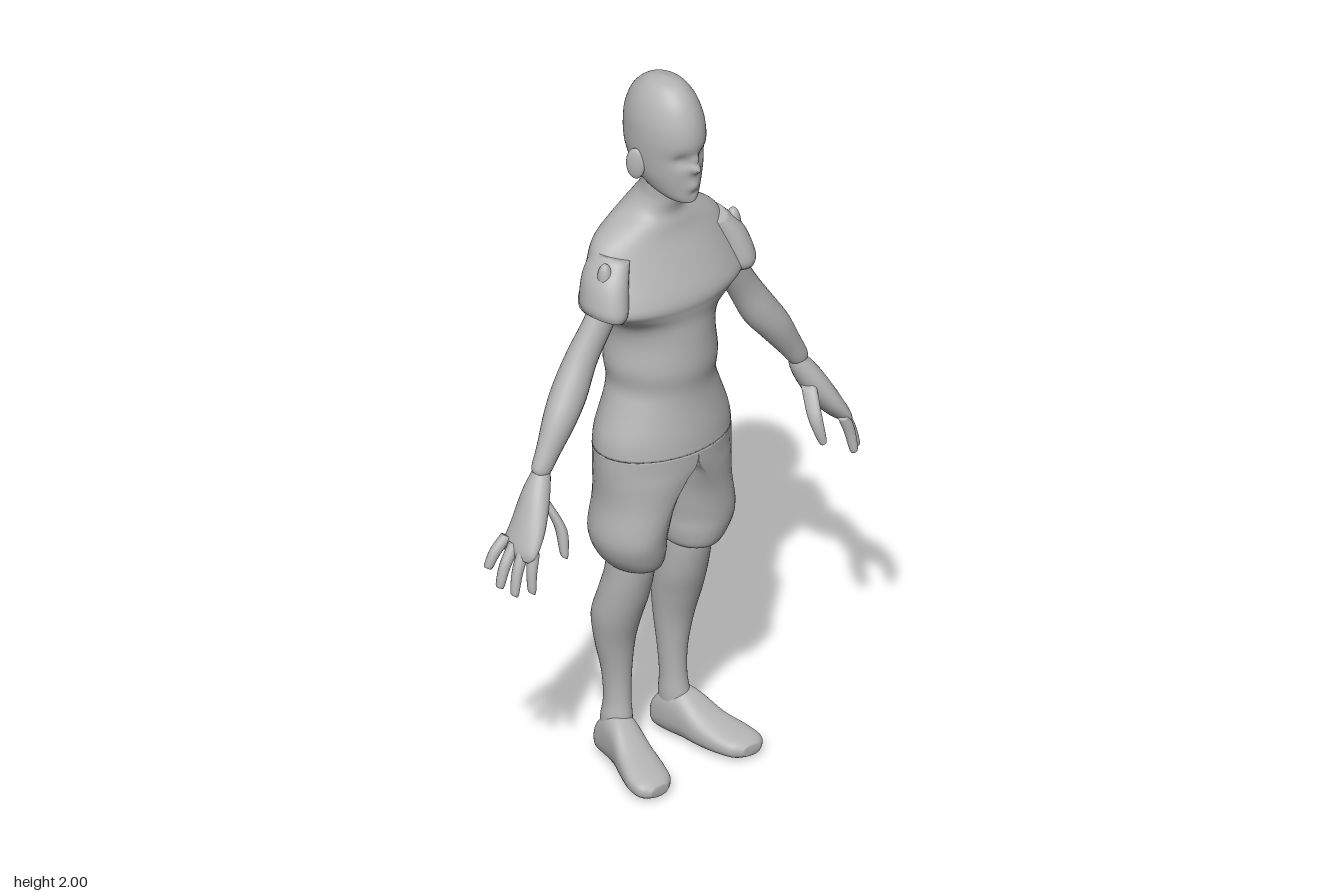
import * as THREE from 'three';

const skin = new THREE.MeshStandardMaterial({ color: 0xb4b4b4 });
skin.name = 'plain grey';
const X = [1, 0, 0], Y = [0, 1, 0], Z = [0, 0, 1];

// Catmull-Rom blend of one number across the sections
function blend(rows, i, f, k) {
  const at = (j) => rows[Math.max(0, Math.min(rows.length - 1, j))][k];
  const [a, b, c, d] = [at(i - 1), at(i), at(i + 1), at(i + 2)];
  return b + 0.5 * f * (c - a + f * (2 * a - 5 * b + 4 * c - d + f * (3 * (b - c) + d - a)));
}

// Smooth skin through elliptic sections [x, y, z, radiusU, radiusV, inner]
// spanned by U and V; "inner" scales the half that faces the other leg.
function loft(name, rows, U, V, { sides = 32, steps = 5, power = 1, side = 1, shape = null } = {}) {
  rows = rows.map((r) => [...r, 1].slice(0, 6));
  const pos = [], index = [];
  const rings = (rows.length - 1) * steps;
  const centre = (r) => [0, 1, 2].map((k) => r[k]);
  const round = (c) => Math.sign(c) * Math.abs(c) ** power;
  for (let j = 0; j <= rings; j++) {
    const i = Math.min(Math.floor(j / steps), rows.length - 2), f = j / steps - i;
    const s = [0, 1, 2, 3, 4, 5].map((k) => blend(rows, i, f, k));
    for (let n = 0; n < sides; n++) {
      const t = (n / sides) * Math.PI * 2;
      let u = round(Math.cos(t)) * Math.max(s[3], 0);
      if (u < 0) u *= Math.max(s[5], 0);
      const v = round(Math.sin(t)) * Math.max(s[4], 0);
      const p = [0, 1, 2].map((k) => s[k] + U[k] * u + V[k] * v);
      if (shape) shape(p);
      pos.push(p[0] * side, p[1], p[2]);
    }
  }
  const a = new THREE.Vector3(...U).cross(new THREE.Vector3(...V));
  const along = new THREE.Vector3(...centre(rows.at(-1))).sub(new THREE.Vector3(...centre(rows[0])));
  const flip = a.dot(along) * side < 0;
  const tri = (p, q, r) => (flip ? index.push(p, r, q) : index.push(p, q, r));
  for (let j = 0; j < rings; j++) {
    for (let n = 0; n < sides; n++) {
      const m = (n + 1) % sides, p = j * sides, q = p + sides;
      tri(p + n, p + m, q + n);
      tri(p + m, q + m, q + n);
    }
  }
  // end caps
  for (let n = 1; n < sides - 1; n++) {
    tri(0, n + 1, n);
    tri(rings * sides, rings * sides + n, rings * sides + n + 1);
  }
  const g = new THREE.BufferGeometry();
  g.setAttribute('position', new THREE.Float32BufferAttribute(pos, 3));
  g.setIndex(index);
  g.computeVertexNormals();
  // keep the shading continuous across the middle of the body
  const nrm = g.attributes.normal;
  for (let i = 0; i < nrm.count; i++) {
    if (Math.abs(pos[i * 3]) > 1e-4) continue;
    const l = Math.hypot(nrm.getY(i), nrm.getZ(i)) || 1;
    nrm.setXYZ(i, 0, nrm.getY(i) / l, nrm.getZ(i) / l);
  }
  const mesh = new THREE.Mesh(g, skin);
  mesh.name = name;
  return mesh;
}

// Upright section: height, half width, front z, back z, centre x, inner
const level = ([y, w, front, back, x = 0, inner = 1]) =>
  [x, y, (front + back) / 2, w, (front - back) / 2, inner];

function ball(name, p, r, tilt = 0) {
  const m = new THREE.Mesh(new THREE.SphereGeometry(1, 20, 14), skin);
  m.position.set(...p);
  m.scale.set(...r);
  m.rotation.y = tilt;
  m.name = name;
  return m;
}

function head() {
  const bump = (p, x, y, r, d) => {
    const q = ((Math.abs(p[0]) - x) ** 2 + (p[1] - y) ** 2) / (r * r);
    if (p[2] > 0.03) p[2] += d * Math.exp(-q);
  };
  // sockets, brow, nose, mouth and chin
  const face = (p) => {
    bump(p, 0.034, 1.802, 0.02, -0.013);
    bump(p, 0, 1.775, 0.013, 0.022);
    bump(p, 0, 1.8, 0.01, 0.01);
    bump(p, 0, 1.722, 0.016, 0.007);
    bump(p, 0, 1.7, 0.012, -0.004);
  };
  return loft('head', [
    [2.0, 0.003, 0.005, -0.005], [1.987, 0.04, 0.055, -0.058], [1.95, 0.068, 0.093, -0.1],
    [1.9, 0.084, 0.116, -0.122], [1.85, 0.088, 0.124, -0.128], [1.8, 0.086, 0.117, -0.124],
    [1.75, 0.078, 0.113, -0.103], [1.71, 0.063, 0.111, -0.07], [1.685, 0.046, 0.109, -0.02],
    [1.672, 0.028, 0.104, 0.02], [1.668, 0.004, 0.08, 0.06],
  ].map(level), X, Z, { sides: 56, steps: 7, shape: face });
}

// Neck, broad shirt yoke with its overhanging hem, and waist
function torso() {
  return loft('torso', [
    [1.76, 0.048, 0.045, -0.06], [1.69, 0.05, 0.047, -0.07], [1.65, 0.058, 0.042, -0.095],
    [1.615, 0.085, 0.036, -0.118], [1.585, 0.14, 0.043, -0.128], [1.545, 0.195, 0.055, -0.138],
    [1.48, 0.222, 0.086, -0.147], [1.42, 0.246, 0.114, -0.153], [1.388, 0.254, 0.122, -0.152],
    [1.362, 0.215, 0.119, -0.145], [1.325, 0.158, 0.115, -0.14], [1.27, 0.142, 0.118, -0.148],
    [1.19, 0.152, 0.122, -0.16], [1.13, 0.147, 0.115, -0.149], [1.08, 0.163, 0.116, -0.144],
    [1.0, 0.193, 0.126, -0.155], [0.95, 0.2, 0.13, -0.158],
  ].map(level), X, Z, { sides: 48 });
}

function leg(side) {
  const g = new THREE.Group();
  g.name = side > 0 ? 'leftLeg' : 'rightLeg';
  const clamp = (p) => { p[0] = Math.max(p[0], 0); };
  g.add(loft('shortsLeg', [
    [0.95, 0.2, 0.13, -0.158, 0, 0], [0.91, 0.194, 0.128, -0.154, 0.006, 0.02],
    [0.87, 0.16, 0.122, -0.147, 0.038, 0.19], [0.8, 0.116, 0.11, -0.134, 0.08, 0.57],
    [0.71, 0.093, 0.101, -0.13, 0.114, 1], [0.655, 0.086, 0.09, -0.12, 0.108, 1],
    [0.615, 0.068, 0.074, -0.103, 0.098, 1], [0.6, 0.05, 0.05, -0.09, 0.096, 1],
  ].map(level), X, Z, { side, shape: clamp }));
  g.add(loft('calf', [
    [0.66, 0.058, 0.052, -0.092, 0.096], [0.58, 0.062, 0.04, -0.094, 0.096],
    [0.5, 0.066, 0.02, -0.118, 0.098], [0.43, 0.064, -0.003, -0.139, 0.102],
    [0.35, 0.053, -0.027, -0.134, 0.1], [0.26, 0.039, -0.038, -0.121, 0.095],
    [0.18, 0.034, -0.038, -0.115, 0.095], [0.12, 0.038, -0.03, -0.122, 0.098],
    [0.06, 0.034, -0.03, -0.125, 0.1],
  ].map(level), X, Z, { side }));
  // foot: z, centre x, half width, top, bottom
  g.add(loft('foot', [
    [-0.143, 0.095, 0.012, 0.06, 0.025], [-0.125, 0.096, 0.036, 0.098, 0.01],
    [-0.08, 0.101, 0.044, 0.14, 0.004], [-0.03, 0.111, 0.048, 0.134, 0.003],
    [0.03, 0.127, 0.057, 0.092, 0], [0.09, 0.145, 0.062, 0.067, 0],
    [0.135, 0.155, 0.054, 0.053, 0.002], [0.158, 0.158, 0.028, 0.038, 0.01],
  ].map(([z, x, w, t, b]) => [x, (t + b) / 2, z, w, (t - b) / 2]), X, Y, { side, power: 0.8 }));
  return g;
}

function arm(side) {
  const g = new THREE.Group();
  g.name = side > 0 ? 'leftArm' : 'rightArm';
  const U = [0.85, 0.52, 0];
  g.add(loft('sleeve', [
    [0.165, 1.53, -0.02, 0.035, 0.06], [0.198, 1.475, -0.005, 0.048, 0.072],
    [0.216, 1.41, 0.008, 0.05, 0.078], [0.222, 1.385, 0.01, 0.04, 0.07],
  ], [0.97, 0.24, 0], Z, { side }));
  g.add(ball('sleeveFold', [side * 0.218, 1.49, 0.015], [0.02, 0.045, 0.02]));
  g.add(loft('armSkin', [
    [0.185, 1.43, 0, 0.04, 0.038], [0.228, 1.35, -0.004, 0.042, 0.036],
    [0.275, 1.27, -0.01, 0.044, 0.04], [0.322, 1.19, -0.004, 0.049, 0.046],
    [0.365, 1.13, 0.006, 0.045, 0.042], [0.41, 1.06, 0.014, 0.034, 0.03],
    [0.436, 1.018, 0.017, 0.028, 0.025], [0.445, 1.005, 0.018, 0.02, 0.018],
  ], U, Z, { side, sides: 24 }));
  g.add(loft('palm', [
    [0.428, 1.025, 0.016, 0.018, 0.018], [0.437, 1.0, 0.018, 0.026, 0.027],
    [0.465, 0.95, 0.028, 0.033, 0.043], [0.502, 0.885, 0.042, 0.031, 0.056],
    [0.535, 0.835, 0.048, 0.022, 0.06], [0.548, 0.815, 0.05, 0.01, 0.045],
  ], U, Z, { side, sides: 24 }));
  // four fingers and the thumb: base, middle, tip
  const digits = {
    littleFinger: [[0.54, 0.855, 0.003], [0.575, 0.82, -0.002], [0.597, 0.782, -0.005]],
    ringFinger: [[0.54, 0.845, 0.033], [0.577, 0.795, 0.037], [0.597, 0.745, 0.04]],
    middleFinger: [[0.535, 0.84, 0.063], [0.564, 0.785, 0.07], [0.58, 0.731, 0.077]],
    indexFinger: [[0.525, 0.84, 0.09], [0.54, 0.79, 0.098], [0.547, 0.738, 0.106]],
    thumb: [[0.45, 0.945, 0.04], [0.432, 0.875, 0.085], [0.439, 0.805, 0.108]],
  };
  for (const [name, [a, b, c]] of Object.entries(digits)) {
    const end = c.map((v, k) => v + (c[k] - b[k]) * 0.08);
    const big = name === 'thumb' ? 1.3 : 1;
    g.add(loft(name, [[...a, 0.016 * big, 0.016 * big], [...b, 0.015 * big, 0.015 * big],
      [...c, 0.011, 0.012], [...end, 0.003, 0.003]], U, Z, { side, sides: 14 }));
  }
  return g;
}

export function createModel() {
  const model = new THREE.Group();
  model.name = 'figure';
  model.add(head(), torso());
  for (const side of [1, -1]) {
    model.add(leg(side), arm(side));
    model.add(ball(side > 0 ? 'leftEar' : 'rightEar', [side * 0.09, 1.77, -0.012], [0.011, 0.044, 0.026], side * -0.45));
  }
  return model;
}
